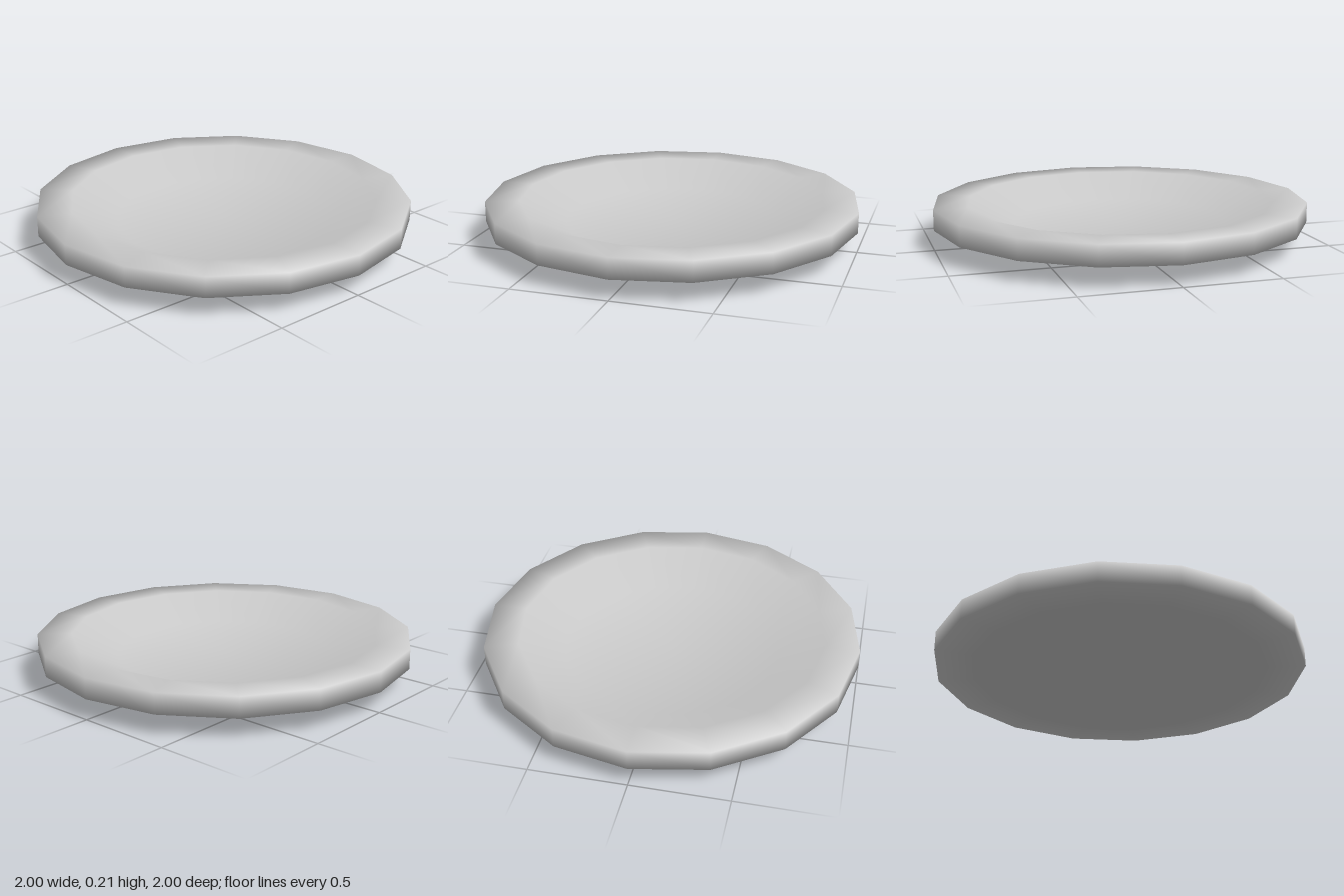
import * as THREE from 'three';

export function createModel() {
  const group = new THREE.Group();
  group.name = 'plate';
  const sides = 16;

  // Closed cross-section: underside, rim, then the dished inside
  const profile = [
    [0, 0], [0.57, 0],          // foot
    [0.8, 0.105], [1, 0.105],   // sloped underside and rim underside
    [1, 0.213], [0.82, 0.213],  // rim edge and rim top
    [0.58, 0.09], [0, 0.09],    // inner wall and floor
  ].map(([r, y]) => new THREE.Vector2(r, y));

  // Smooth normals: even average of the two profile edges at each point
  const edges = profile.slice(1).map((p, j) => {
    const d = p.clone().sub(profile[j]).normalize();
    return new THREE.Vector2(d.y, -d.x);
  });
  const normals = profile.map((p, j) =>
    (edges[j - 1] ?? edges[j]).clone().add(edges[j] ?? edges[j - 1]).normalize());

  const geometry = new THREE.LatheGeometry(profile, sides);
  for (let i = 0; i <= sides; i++) {
    const a = (i / sides) * Math.PI * 2;
    normals.forEach((n, j) => geometry.attributes.normal.setXYZ(
      i * profile.length + j, n.x * Math.sin(a), n.y, n.x * Math.cos(a)));
  }

  const dish = new THREE.Mesh(geometry, new THREE.MeshStandardMaterial({ color: 0xcccccc }));
  dish.name = 'dish';
  group.add(dish);
  return group;
}
